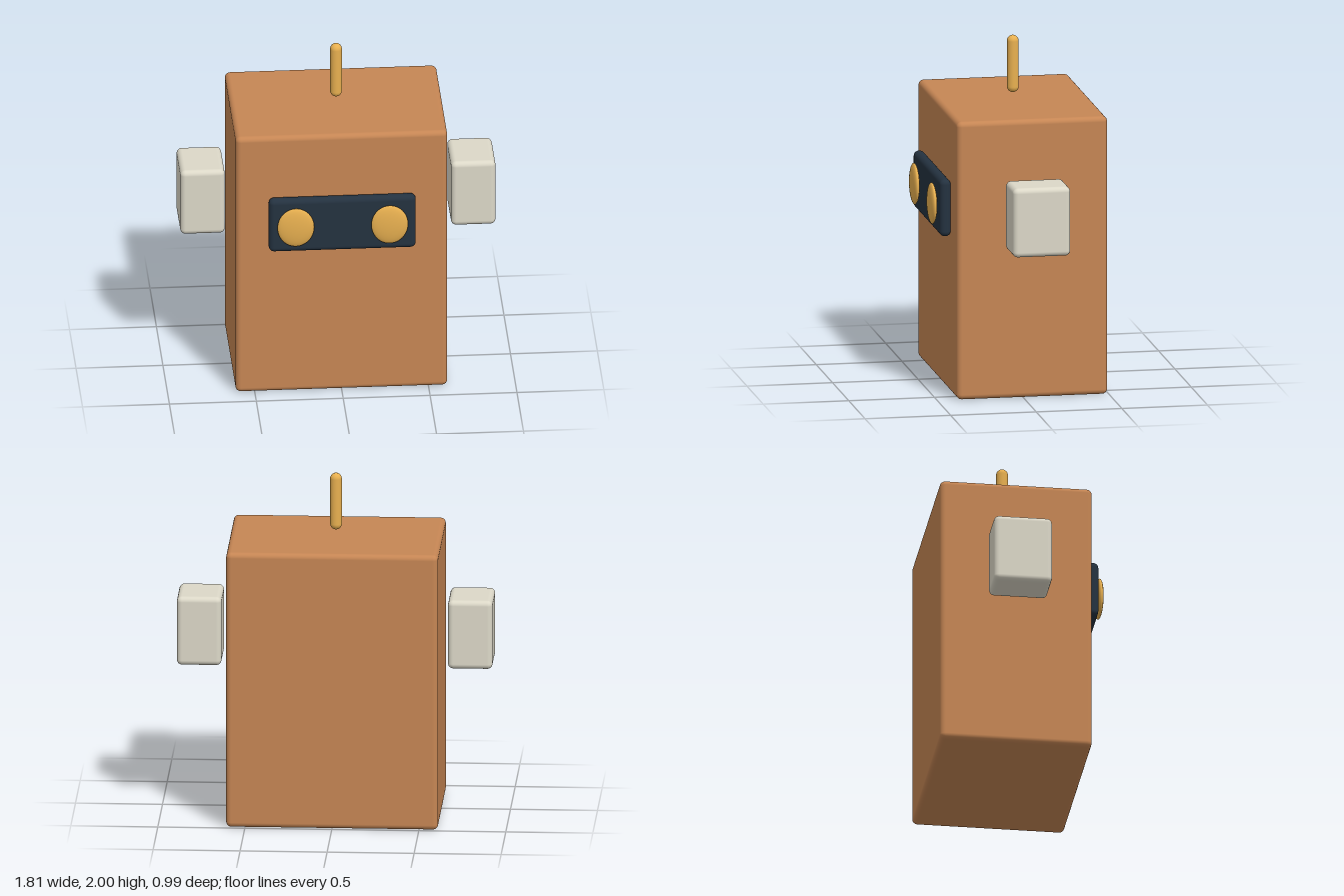
import * as THREE from 'three';
import { RoundedBoxGeometry } from 'three/addons/geometries/RoundedBoxGeometry.js';

const material = (color) => new THREE.MeshStandardMaterial({ color });

export function createModel() {
  const model = new THREE.Group();
  const copper = material(0xc68654);
  const navy = material(0x243240);
  const gold = material(0xe8b050);
  const ivory = material(0xdcd8c8);

  const add = (name, geometry, mat, x, y, z) => {
    const mesh = new THREE.Mesh(geometry, mat);
    mesh.name = name;
    mesh.position.set(x, y, z);
    model.add(mesh);
    return mesh;
  };
  const box = (w, h, d, r) => new RoundedBoxGeometry(w, h, d, 4, r);

  // Main body and face plate
  add('body', box(1.218, 1.63, 0.88, 0.03), copper, 0, 0.815, -0.053);
  add('visor', box(0.845, 0.335, 0.065, 0.03), navy, 0, 1.088, 0.418);

  // Mirrored eyes and floating side blocks
  for (const [side, s] of [['left', 1], ['right', -1]]) {
    const eye = add(side + 'Eye', new THREE.SphereGeometry(1, 40, 24), gold, s * 0.27, 1.09, 0.471);
    eye.scale.set(0.106, 0.12, 0.024);
    add(side + 'Ear', box(0.256, 0.405, 0.336, 0.03), ivory, s * 0.779, 1.088, -0.053);
  }

  // Antenna hovering above the top
  add('antenna', new THREE.CapsuleGeometry(0.034, 0.267, 8, 24), gold, 0, 1.832, -0.053);

  return model;
}
